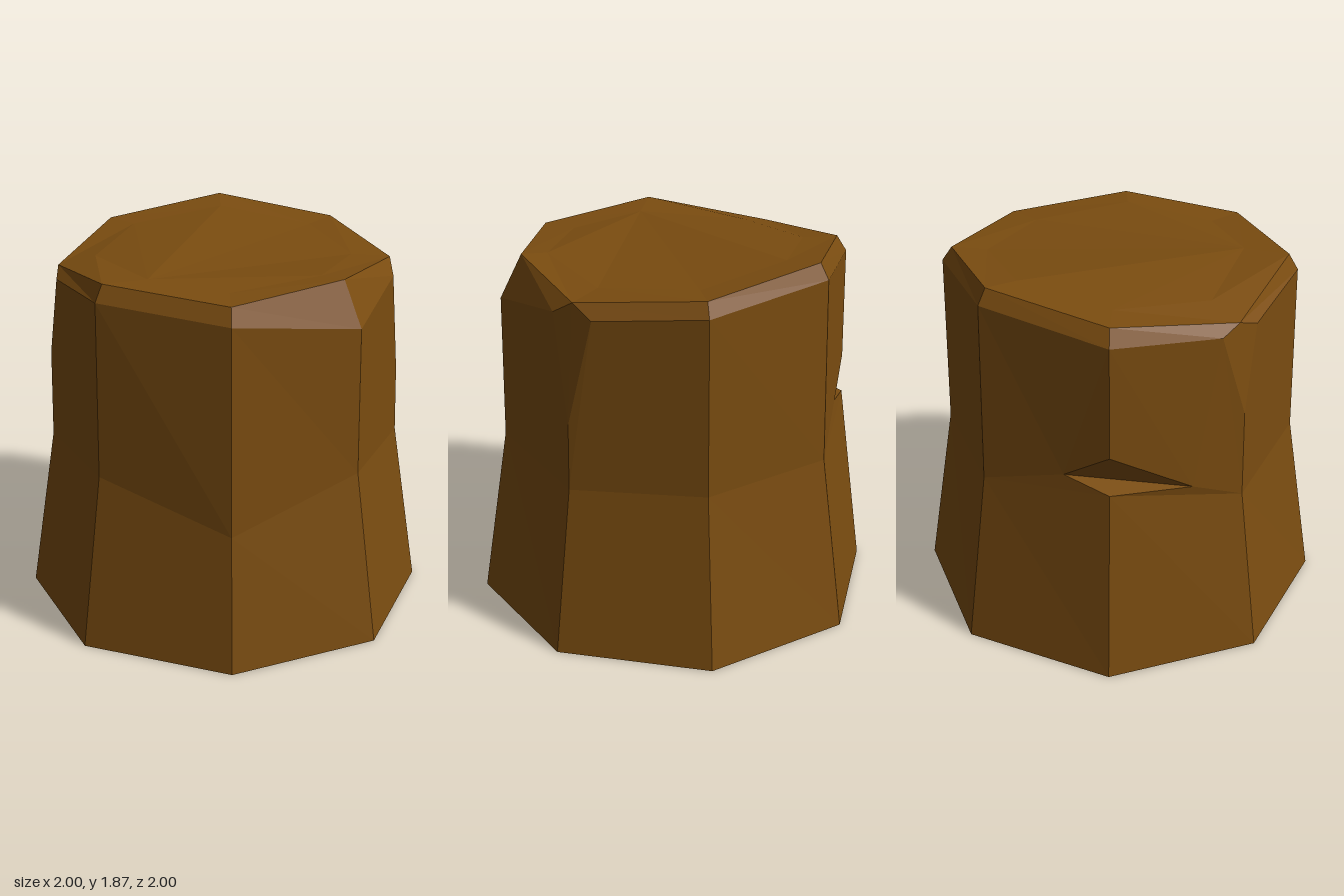
import * as THREE from 'three';

const barkBrown = new THREE.MeshStandardMaterial({ color: 0x7a4c10, side: THREE.DoubleSide, flatShading: true });

// flat-shaded mesh from a list of corner triples, dropping collapsed triangles
function facetMesh(name, triangles) {
  const kept = triangles.filter(([a, b, c]) => new THREE.Triangle(a, b, c).getArea() > 1e-6);
  const geometry = new THREE.BufferGeometry().setFromPoints(kept.flat());
  geometry.computeVertexNormals();
  const mesh = new THREE.Mesh(geometry, barkBrown);
  mesh.name = name;
  return mesh;
}

const v = (x, y, z) => new THREE.Vector3(x, y, z);
const polar = (deg, r, y) => {
  const a = THREE.MathUtils.degToRad(deg);
  return v(r * Math.cos(a), y, r * Math.sin(a));
};

// two triangles between neighbouring columns
const quad = (a0, a1, b0, b1) => [[a0, a1, b1], [a0, b1, b0]];

export function createModel() {
  const group = new THREE.Group();
  group.name = 'treeStump';

  // columns: angle, [radius, height] of bend, shoulder and rim
  const column = (deg, bend, shoulder, rim) => ({
    base: polar(deg, 1, 0), bend: polar(deg, ...bend), shoulder: polar(deg, ...shoulder), rim: polar(deg, ...rim),
  });
  // a side column split in three so its bevel narrows to a point low down
  const pinched = (deg, bend, low, rim) => [-7.7, 0, 7.7].map((offset) => {
    const c = column(deg, bend, [0.865, low], rim);
    if (offset) c.shoulder = polar(deg + offset, 0.823, 1.68);
    return c;
  });
  const notched = column(225, [0.87, 0.96], [0.86, 1.72], [0.81, 1.8]);
  const columns = [
    ...pinched(0, [0.872, 0.83], 1.16, [0.81, 1.745]),
    column(45, [0.865, 0.86], [0.857, 1.58], [0.75, 1.795]),
    column(90, [0.9, 0.67], [0.86, 1.68], [0.815, 1.762]),
    column(135, [0.87, 0.86], [0.86, 1.72], [0.815, 1.8]),
    ...pinched(180, [0.872, 0.83], 1.27, [0.812, 1.72]),
    notched,
    column(270, [0.87, 0.88], [0.855, 1.79], [0.81, 1.865]),
    column(315, [0.865, 0.86], [0.857, 1.73], [0.81, 1.8]),
  ];

  // notch corners: upper lip and the two ends of its inner crease
  const lip = polar(225, 0.865, 1.16);
  const creaseA = v(-0.39, 1.01, -0.7);
  const creaseB = v(-0.78, 0.93, -0.24);

  const roots = [], bark = [], bevel = [];
  columns.forEach((c, i) => {
    const n = columns[(i + 1) % columns.length];
    roots.push(...quad(c.base, c.bend, n.base, n.bend));
    bevel.push(...quad(c.shoulder, c.rim, n.shoulder, n.rim));
    if (n === notched) {
      bark.push([creaseB, n.bend, c.bend], [creaseB, c.bend, c.shoulder],
        [creaseB, c.shoulder, n.shoulder], [creaseB, n.shoulder, lip]);
    } else if (c === notched) {
      bark.push([creaseA, lip, c.shoulder], [creaseA, c.shoulder, n.shoulder],
        [creaseA, n.shoulder, n.bend], [creaseA, n.bend, c.bend]);
    } else {
      bark.push(...quad(c.bend, c.shoulder, n.bend, n.shoulder));
    }
  });
  const notch = [[creaseB, lip, creaseA], [notched.bend, creaseB, creaseA]];

  // uneven cut top: an inner ring, fanned from its front corner
  const inner = [
    v(0.62, 1.76, 0), v(0.43, 1.79, 0.45), v(0, 1.768, 0.63), v(-0.37, 1.79, 0.48),
    v(-0.63, 1.765, 0), v(-0.45, 1.8, -0.45), v(0, 1.842, -0.63), v(0.45, 1.79, -0.45),
  ];
  const rims = columns.map((c) => c.rim).filter((p, i, all) => i === 0 || p.distanceTo(all[i - 1]) > 1e-4);
  const top = [];
  inner.forEach((p, i) => {
    const j = (i + 1) % 8;
    top.push(...quad(rims[i], p, rims[j], inner[j]), [inner[3], inner[j], p]);
  });

  group.add(
    facetMesh('flaredFoot', roots),
    facetMesh('barkWall', bark),
    facetMesh('axeNotch', notch),
    facetMesh('rimBevel', bevel),
    facetMesh('cutTop', top),
  );
  return group;
}
